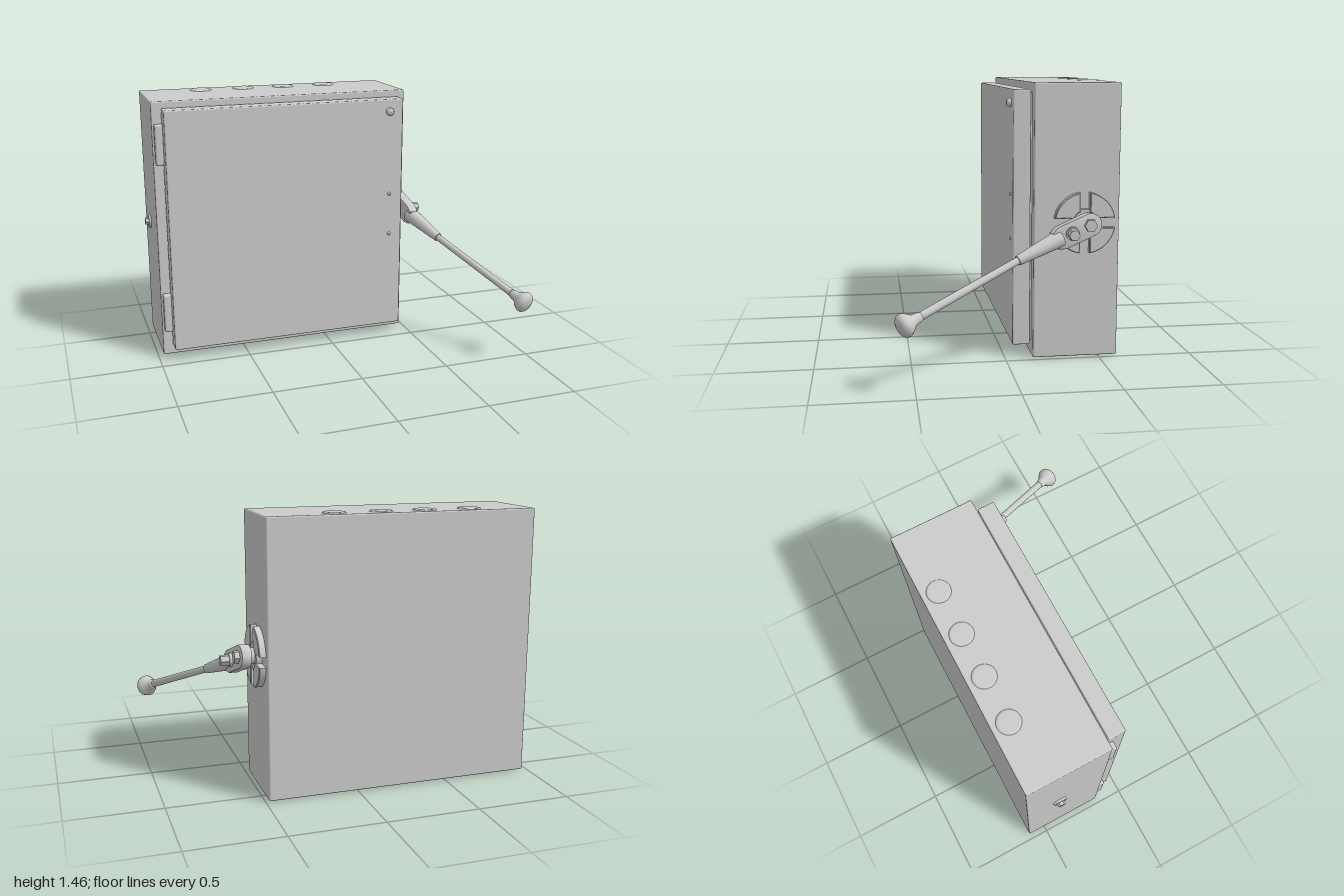
import * as THREE from 'three';
import { RoundedBoxGeometry } from 'three/addons/geometries/RoundedBoxGeometry.js';
import { toCreasedNormals } from 'three/addons/utils/BufferGeometryUtils.js';

const material = new THREE.MeshStandardMaterial({ color: 0xcccccc });
const V = (x, y, z) => new THREE.Vector3(x, y, z);

export function createModel() {
  const model = new THREE.Group();

  const add = (name, geometry) => {
    const mesh = new THREE.Mesh(geometry, material);
    mesh.name = name;
    model.add(mesh);
    return mesh;
  };

  // Softly rounded box given by its two extreme corners
  const block = (name, a, b, r) => {
    const s = b.clone().sub(a);
    return add(name, new RoundedBoxGeometry(s.x, s.y, s.z, 2, r)).position.copy(a).add(b).multiplyScalar(0.5);
  };

  // Lathe or cylinder whose +y axis is aimed from a towards b
  const aim = (mesh, a, b) => {
    mesh.position.copy(a);
    mesh.quaternion.setFromUnitVectors(V(0, 1, 0), b.clone().sub(a).normalize());
    return mesh;
  };
  const rod = (name, a, b, ra, rb = ra, sides = 20) => {
    const length = a.distanceTo(b);
    const g = new THREE.CylinderGeometry(rb, ra, length, sides).translate(0, length / 2, 0);
    return aim(add(name, toCreasedNormals(g, 0.6)), a, b);
  };
  const turned = (name, a, b, points) => {
    const g = new THREE.LatheGeometry(points.map(p => new THREE.Vector2(...p)), 24);
    return aim(add(name, g), a, b);
  };

  // Cabinet, door and the narrow gasket between them
  block('cabinet', V(-0.97, 0.01, -0.60), V(0.483, 1.46, -0.145), 0.008);
  block('gasket', V(-0.90, 0.09, -0.16), V(0.42, 1.41, -0.12), 0.004);
  block('door', V(-0.918, 0.07, -0.135), V(0.437, 1.425, -0.042), 0.008);

  // Hinges along the left edge of the door opening
  for (const y of [0.27, 1.23]) {
    block('hinge', V(-0.96, y - 0.11, -0.15), V(-0.91, y + 0.11, -0.105), 0.01);
  }

  // Door screw and two small rivets
  turned('doorScrew', V(0.355, 1.355, -0.045), V(0.355, 1.355, 0),
    [[0.022, 0], [0.022, 0.016], [0.016, 0.025], [0, 0.027]]);
  for (const y of [0.635, 0.875]) {
    turned('doorRivet', V(0.36, y, -0.044), V(0.36, y, 0), [[0.011, 0], [0.008, 0.008], [0, 0.011]]);
  }

  // Shallow knockouts on top and bottom
  for (const x of [-0.63, -0.38, -0.14, 0.11]) {
    for (const [y, s] of [[1.458, 1], [0.012, -1]]) {
      turned('knockout', V(x, y, -0.51), V(x, y + s, -0.51),
        [[0.064, 0], [0.058, 0.007], [0.05, 0.008], [0, 0.008]]);
    }
  }

  // Bolt on the side away from the lever
  rod('sideWasher', V(-0.965, 0.735, -0.41), V(-0.982, 0.735, -0.41), 0.042, 0.036);
  rod('sideBolt', V(-0.98, 0.735, -0.41), V(-1.0, 0.735, -0.41), 0.024, 0.02, 6);

  // Slotted disc: four sectors separated by a cross of slots
  const R = 0.158, h = 0.03, inner = 0.068;
  const sector = new THREE.Shape();
  const t = Math.asin(h / R), u = Math.asin(h / inner);
  sector.absarc(0, 0, R, t, Math.PI / 2 - t, false);
  sector.absarc(0, 0, inner, Math.PI / 2 - u, u, true);
  sector.closePath();
  const sectorGeometry = new THREE.ExtrudeGeometry(sector,
    { depth: 0.032, bevelSize: 0.004, bevelThickness: 0.004, bevelSegments: 1, curveSegments: 14 });
  for (let i = 0; i < 4; i++) {
    const g = sectorGeometry.clone().rotateZ(i * Math.PI / 2).rotateY(Math.PI / 2);
    add('discSector', toCreasedNormals(g, 0.5)).position.set(0.482, 0.735, -0.41);
  }
  rod('discHub', V(0.475, 0.735, -0.41), V(0.512, 0.735, -0.41), 0.074);
  rod('pivotShaft', V(0.50, 0.738, -0.42), V(0.575, 0.738, -0.42), 0.042);

  // Lever arm: rounded plate sloping forward, down and outward
  const armStart = V(0.565, 0.738, -0.42), armEnd = V(0.594, 0.664, -0.235);
  const along = armEnd.clone().sub(armStart), L = along.length();
  along.normalize();
  const across = V(1, 0, 0).cross(along).normalize();
  const outward = along.clone().cross(across);
  const plate = new THREE.Shape();
  plate.absarc(0, 0, 0.055, Math.PI / 2, Math.PI * 1.5, false);
  plate.lineTo(L - 0.035, -0.055);
  plate.lineTo(L, -0.04);
  plate.lineTo(L, 0.04);
  plate.lineTo(L - 0.035, 0.055);
  plate.closePath();
  const plateGeometry = new THREE.ExtrudeGeometry(plate,
    { depth: 0.044, bevelSize: 0.006, bevelThickness: 0.006, bevelSegments: 2, curveSegments: 12 });
  plateGeometry.translate(0, 0, -0.022);
  const arm = add('leverArm', toCreasedNormals(plateGeometry, 0.6));
  arm.quaternion.setFromRotationMatrix(new THREE.Matrix4().makeBasis(along, across, outward));
  arm.position.copy(armStart);

  // Pivot nut and the longer clamp bolt on the arm
  const pin = (name, d, from, to, r, sides) => {
    const c = armStart.clone().addScaledVector(along, d);
    rod(name, c.clone().add(V(from, 0, 0)), c.clone().add(V(to, 0, 0)), r, r * 0.92, sides);
  };
  pin('pivotNut', 0.0, 0.01, 0.05, 0.036, 6);
  pin('clampCollar', 0.105, 0.01, 0.04, 0.038, 20);
  pin('clampBolt', 0.105, 0.03, 0.085, 0.031, 6);

  // Ferrule, rod and mushroom knob
  const ferruleEnd = V(0.676, 0.583, -0.03), rodEnd = V(0.912, 0.372, 0.49), tip = V(0.96, 0.329, 0.596);
  rod('ferrule', armStart.clone().lerp(armEnd, 0.85), ferruleEnd, 0.046, 0.026);
  rod('leverRod', ferruleEnd, rodEnd, 0.019, 0.021);
  turned('knob', rodEnd.clone().lerp(tip, -0.2), tip, [
    [0, 0], [0.022, 0], [0.026, 0.02], [0.03, 0.045], [0.05, 0.068],
    [0.06, 0.088], [0.058, 0.106], [0.044, 0.121], [0.022, 0.128], [0, 0.129],
  ]);

  return model;
}
